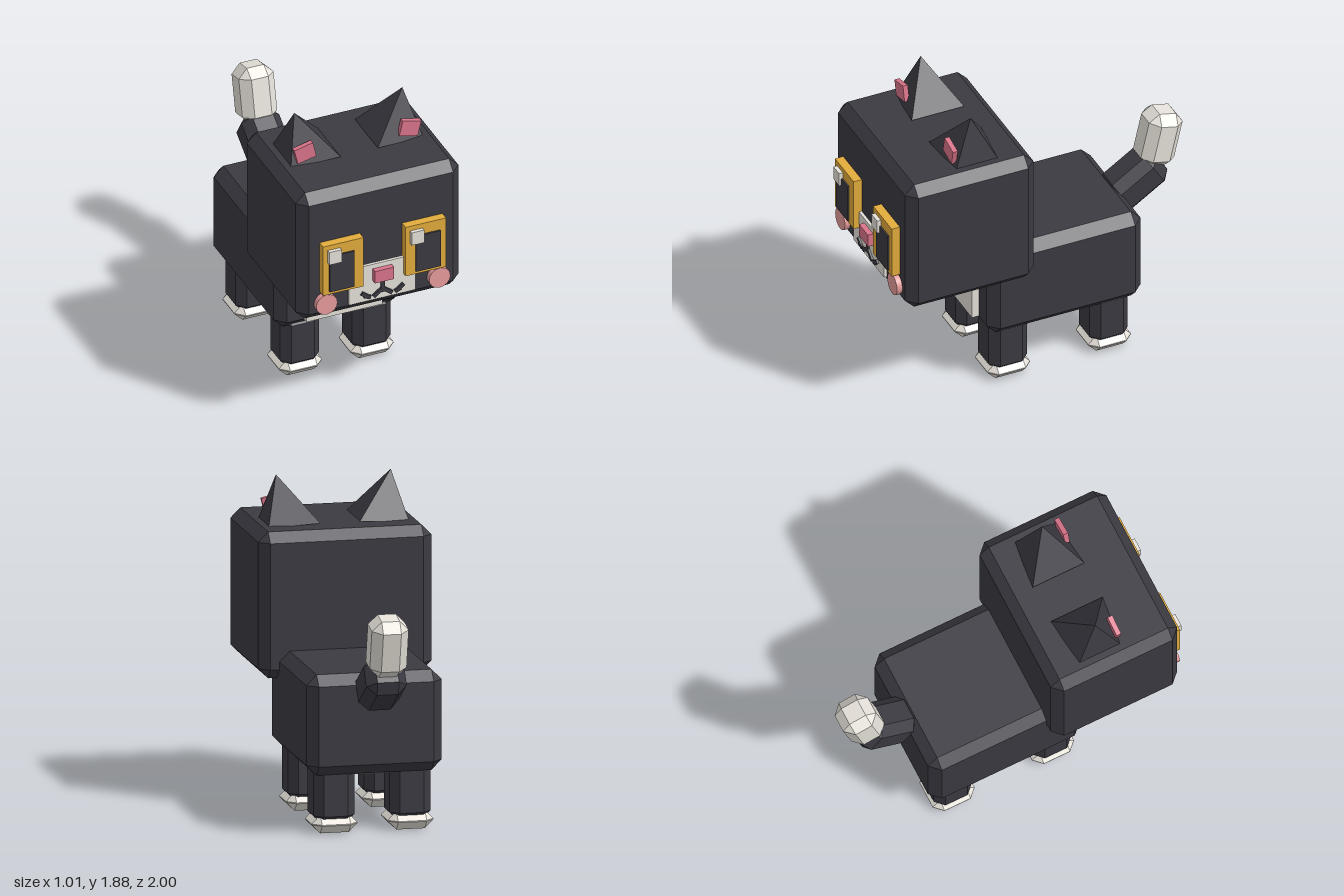
import * as THREE from 'three';
import { ConvexGeometry } from 'three/addons/geometries/ConvexGeometry.js';

const material = (name, color) => {
  const m = new THREE.MeshStandardMaterial({ color });
  m.name = name;
  return m;
};

// Box with every edge and corner cut flat by c
function chamferedBox(w, h, d, c) {
  const points = [];
  const [x, y, z] = [w / 2, h / 2, d / 2];
  for (const sx of [-1, 1]) for (const sy of [-1, 1]) for (const sz of [-1, 1]) {
    points.push(
      new THREE.Vector3(sx * x, sy * (y - c), sz * (z - c)),
      new THREE.Vector3(sx * (x - c), sy * y, sz * (z - c)),
      new THREE.Vector3(sx * (x - c), sy * (y - c), sz * z));
  }
  return new ConvexGeometry(points);
}

export function createModel() {
  const model = new THREE.Group();
  model.name = 'blockCat';
  const fur = material('charcoalFur', 0x3b3a42);
  const cream = material('creamFur', 0xe6e2da);
  const gold = material('goldEye', 0xe3ac3c);
  const pink = material('rosePink', 0xd9748a);
  const blush = material('blushPink', 0xe89c9c);

  const add = (name, geometry, mat, x, y, z, parent = model) => {
    const mesh = new THREE.Mesh(geometry, mat);
    mesh.name = name;
    mesh.position.set(x, y, z);
    parent.add(mesh);
    return mesh;
  };
  const box = (w, h, d) => new THREE.BoxGeometry(w, h, d);

  // Body, bib and belly
  add('body', chamferedBox(0.79, 0.585, 0.965, 0.06), fur, 0, 0.637, -0.122);
  add('bib', box(0.47, 0.44, 0.1), cream, 0, 0.63, 0.355);
  add('belly', box(0.4, 0.06, 0.57), cream, 0, 0.34, -0.115);

  // Legs and paws
  for (const side of [-1, 1]) {
    for (const [name, z] of [['front', 0.207], ['back', -0.425]]) {
      add(name + 'Leg', chamferedBox(0.24, 0.35, 0.24, 0.05), fur, side * 0.222, 0.225, z);
      add(name + 'Paw', chamferedBox(0.266, 0.106, 0.266, 0.05), cream, side * 0.222, 0.053, z);
    }
  }

  // Tail in two bent segments
  add('tailBase', chamferedBox(0.235, 0.35, 0.235, 0.055), fur, 0, 0.9, -0.72).rotation.x = -1.0;
  add('tailTip', chamferedBox(0.215, 0.345, 0.215, 0.055), cream, 0, 1.15, -0.87).rotation.x = -0.225;

  // Head
  const head = new THREE.Group();
  head.name = 'head';
  model.add(head);
  add('skull', chamferedBox(1.01, 0.85, 0.805, 0.058), fur, 0, 1.19, 0.522, head);

  for (const side of [-1, 1]) {
    // Pointed ears leaning outward
    const corners = [
      [0.41, 1.605, 0.32], [0.115, 1.625, 0.29], [0.115, 1.625, 0.618],
      [0.41, 1.605, 0.586], [0.335, 1.885, 0.46],
    ].map(([x, y, z]) => new THREE.Vector3(side * x, y, z));
    add('ear', new ConvexGeometry(corners), fur, 0, 0, 0, head);
    add('innerEar', box(0.118, 0.098, 0.03), pink, side * 0.325, 1.69, 0.582, head).rotation.z = -side * 0.23;

    // Eyes: the glints both sit on the same side of the pupils
    add('eye', box(0.25, 0.33, 0.065), gold, side * 0.256, 1.13, 0.943, head);
    add('pupil', box(0.153, 0.24, 0.02), fur, side * 0.267, 1.105, 0.976, head);
    add('glint', box(0.077, 0.085, 0.03), cream, side < 0 ? -0.314 : 0.197, 1.222, 0.984, head);

    // Cheeks
    add('cheek', new THREE.CylinderGeometry(0.066, 0.066, 0.04, 16), blush, side * 0.35, 0.887, 0.938, head)
      .rotation.x = Math.PI / 2;

    // Mouth curls
    add('innerMouth', box(0.065, 0.024, 0.014), fur, side * 0.032, 0.88, 0.947, head).rotation.z = -side * 0.65;
    add('middleMouth', box(0.04, 0.024, 0.014), fur, side * 0.094, 0.87, 0.947, head).rotation.z = side * 0.4;
    add('outerMouth', box(0.045, 0.024, 0.014), fur, side * 0.112, 0.885, 0.947, head).rotation.z = side * 0.65;
  }

  // Muzzle and nose
  add('muzzle', box(0.41, 0.24, 0.03), cream, 0, 0.955, 0.927, head);
  add('mouthStem', box(0.024, 0.09, 0.014), fur, 0, 0.925, 0.947, head);
  add('nose', box(0.118, 0.08, 0.05), pink, 0, 1.005, 0.95, head);

  return model;
}
